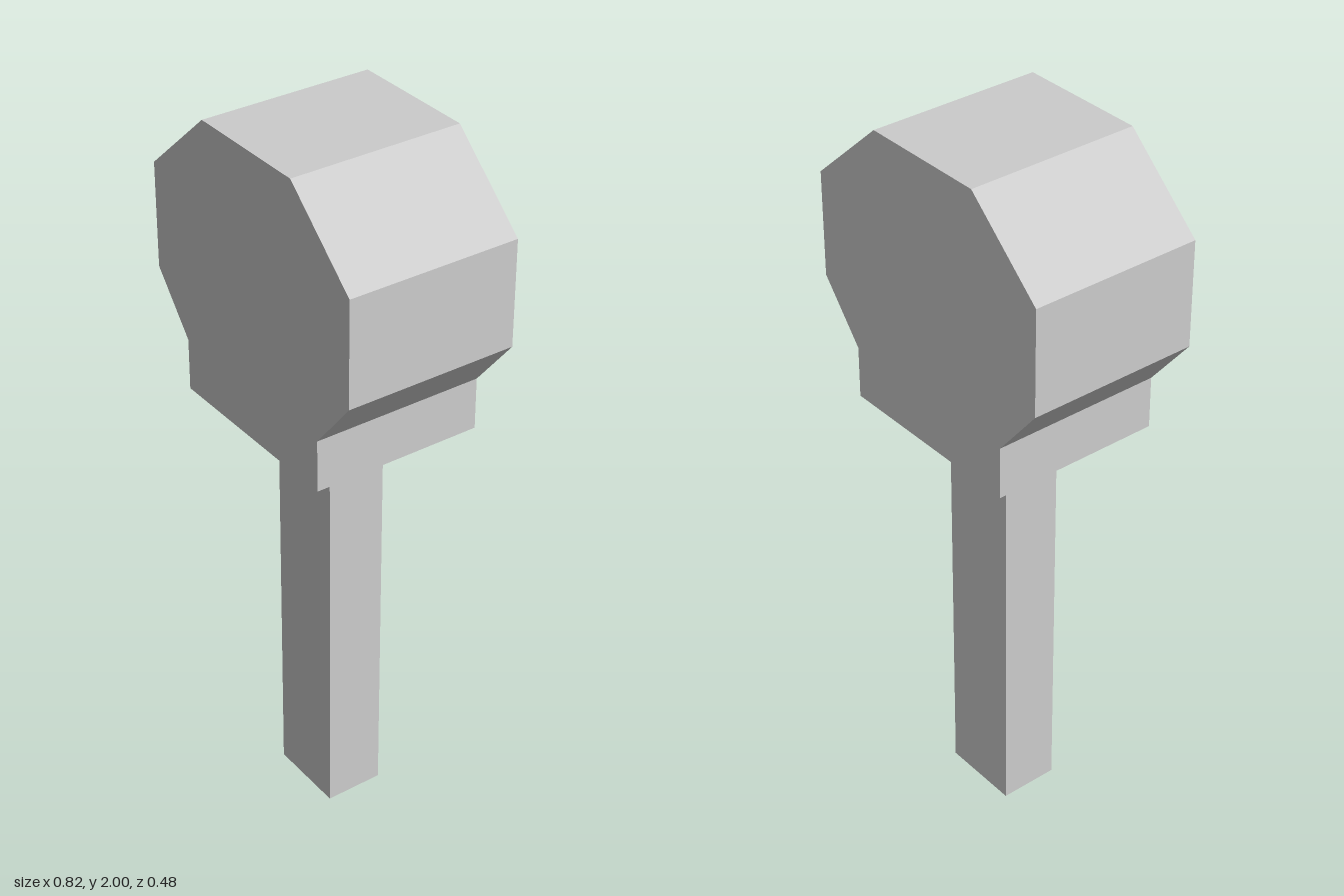
import * as THREE from 'three';

export function createModel() {
  const group = new THREE.Group();
  const material = new THREE.MeshStandardMaterial({
    color: 0xcccccc, flatShading: true, side: THREE.DoubleSide,
  });

  // Head: right half of the outline from bottom to top, mirrored to the left
  const half = [[0.283, 1.205], [0.283, 1.35], [0.41, 1.505], [0.41, 1.797], [0.182, 2]];
  const outline = [...half, ...half.map(([x, y]) => [-x, y]).reverse()];
  const shape = new THREE.Shape(outline.map(([x, y]) => new THREE.Vector2(x, y)));
  const depth = 0.48;
  const headGeometry = new THREE.ExtrudeGeometry(shape, { depth, bevelEnabled: false });
  headGeometry.translate(0, 0, -depth / 2);
  const head = new THREE.Mesh(headGeometry, material);
  head.name = 'head';

  // Handle: square tube, open at the bottom
  const height = 1.205;
  const handleGeometry = new THREE.CylinderGeometry(Math.SQRT1_2, Math.SQRT1_2, height, 4, 1, true);
  handleGeometry.rotateY(Math.PI / 4).scale(0.226, 1, 0.166).translate(0, height / 2, 0);
  const handle = new THREE.Mesh(handleGeometry, material);
  handle.name = 'handle';

  group.add(head, handle);
  return group;
}
